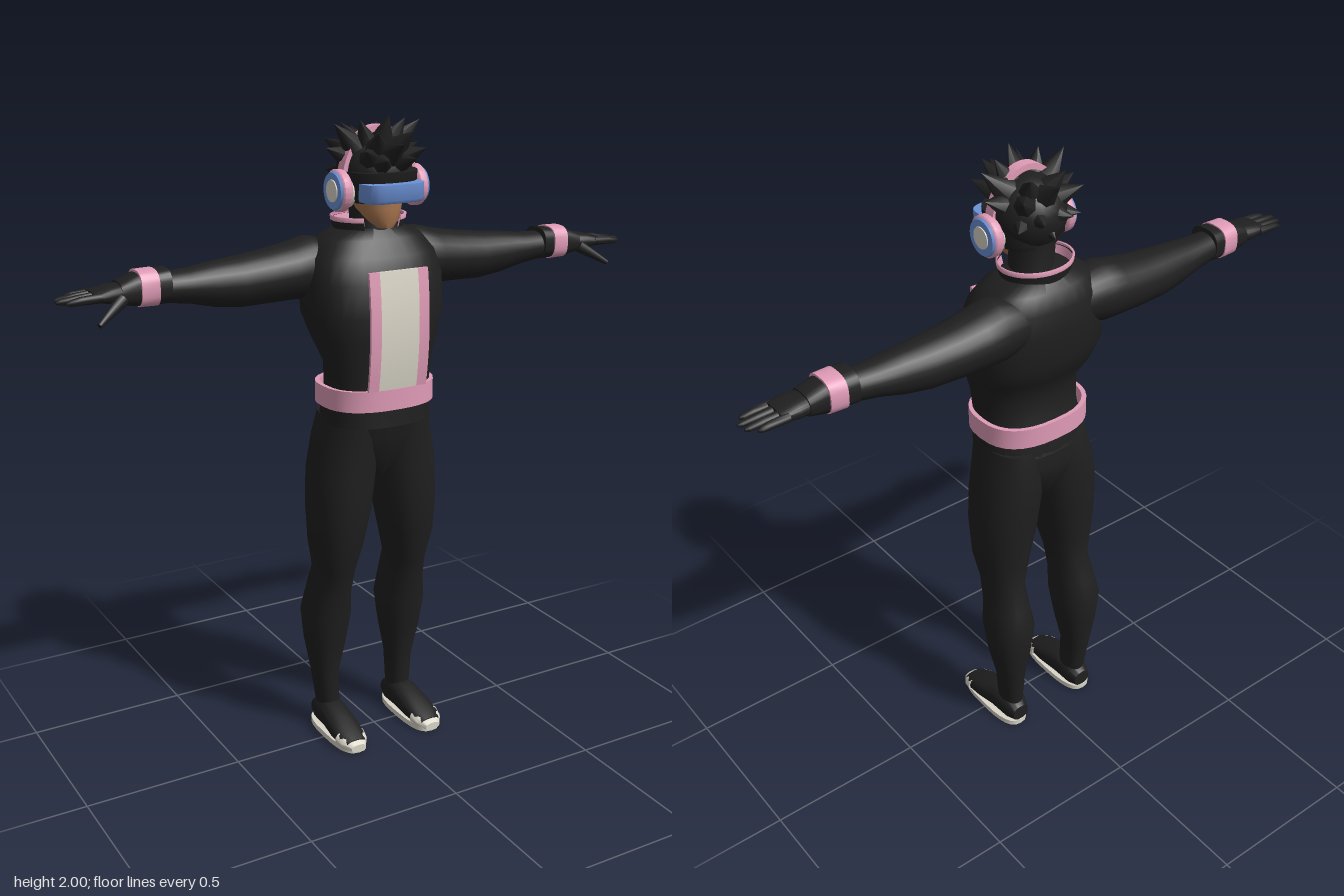
import * as THREE from 'three';
import { toCreasedNormals } from 'three/addons/utils/BufferGeometryUtils.js';

const mat = (name, color, side = THREE.FrontSide) => {
  const m = new THREE.MeshStandardMaterial({ color, side });
  m.name = name;
  return m;
};

// Closed skin through rings [t, cA, rA, cB, rB]; axis y: A=x B=z, axis x: A=z B=y, axis z: A=y B=x
function loft(rings, { axis = 'y', power = 2, sides = 24, caps = true, crease = 0.8 } = {}) {
  const pos = [], idx = [];
  const put = (a, t, b) => pos.push(...(axis === 'y' ? [a, t, b] : axis === 'x' ? [t, b, a] : [b, a, t]));
  const pw = v => Math.sign(v) * Math.abs(v) ** (2 / power);
  for (const [t, ca, ra, cb, rb] of rings) {
    for (let j = 0; j < sides; j++) {
      const q = (j / sides) * Math.PI * 2;
      put(ca + ra * pw(Math.cos(q)), t, cb + rb * pw(Math.sin(q)));
    }
  }
  for (let i = 0; i < rings.length - 1; i++) {
    for (let j = 0; j < sides; j++) {
      const k = (j + 1) % sides, a = i * sides + j, b = i * sides + k;
      idx.push(a, a + sides, b, b, a + sides, b + sides);
    }
  }
  if (caps) {
    const n = rings.length, first = rings[0], last = rings[n - 1], c = n * sides;
    put(first[1], first[0], first[3]);
    put(last[1], last[0], last[3]);
    for (let j = 0; j < sides; j++) {
      const k = (j + 1) % sides, o = (n - 1) * sides;
      idx.push(c, j, k, c + 1, o + k, o + j);
    }
  }
  const g = new THREE.BufferGeometry();
  g.setAttribute('position', new THREE.Float32BufferAttribute(pos, 3));
  g.setIndex(idx);
  return toCreasedNormals(g, crease);
}

// Copy to the other side of x = 0 and restore the corner order
function mirrored(geo) {
  const g = geo.index ? geo.toNonIndexed() : geo.clone();
  g.scale(-1, 1, 1);
  for (const a of Object.values(g.attributes)) {
    const n = a.itemSize, d = a.array;
    for (let i = 0; i < a.count; i += 3) {
      for (let k = 0; k < n; k++) {
        const p = i * n + k, q = (i + 2) * n + k;
        [d[p], d[q]] = [d[q], d[p]];
      }
    }
  }
  return g;
}

// Cone from a to b
function cone(a, b, r0, r1, sides) {
  const A = new THREE.Vector3(...a), B = new THREE.Vector3(...b), d = B.clone().sub(A);
  const g = new THREE.CylinderGeometry(r1, r0, d.length(), sides);
  g.applyQuaternion(new THREE.Quaternion().setFromUnitVectors(new THREE.Vector3(0, 1, 0), d.normalize()));
  return g.translate(...A.add(B).multiplyScalar(0.5).toArray());
}

export function createModel() {
  const black = mat('black cloth', 0x1f1f1f), pink = mat('pink trim', 0xdf9bb6);
  const cream = mat('cream', 0xdad6c8), blue = mat('blue visor', 0x6c92d8), skin = mat('skin', 0xa8754f);
  const blackOpen = mat('black collar cloth', 0x1f1f1f, THREE.DoubleSide);
  const pinkOpen = mat('pink lining', 0xdf9bb6, THREE.DoubleSide);
  const model = new THREE.Group();
  model.name = 'figure';
  const add = (name, geo, m) => {
    const mesh = new THREE.Mesh(geo, m);
    mesh.name = name;
    model.add(mesh);
  };
  const pair = (name, geo, m) => {
    add('left ' + name, geo, m);
    add('right ' + name, mirrored(geo), m);
  };

  // Jacket
  add('jacket', loft([
    [1.08, 0, 0.172, 0, 0.138], [1.19, 0, 0.165, 0.015, 0.118], [1.27, 0, 0.172, 0.022, 0.113],
    [1.35, 0, 0.2, 0, 0.142], [1.42, 0, 0.222, -0.012, 0.157], [1.52, 0, 0.223, -0.02, 0.15],
    [1.59, 0, 0.205, -0.03, 0.135], [1.64, 0, 0.165, -0.035, 0.108], [1.67, 0, 0.1, -0.035, 0.08]
  ], { power: 2.5, sides: 32 }), black);
  add('belt', loft([
    [1.135, 0, 0.16, 0, 0.125], [1.135, 0, 0.182, 0, 0.145], [1.2, 0, 0.182, 0, 0.145],
    [1.2, 0, 0.168, 0, 0.132], [1.15, 0, 0.165, 0, 0.13]
  ], { power: 2.5, sides: 32, caps: false }), pink);

  // Chest panels bowed along the jacket front
  const panel = (x, w) => {
    const g = new THREE.BoxGeometry(w, 0.36, 0.009, 1, 8, 1).translate(x, 1.38, 0);
    const p = g.attributes.position;
    for (let i = 0; i < p.count; i++) {
      const u = (p.getY(i) - 1.39) / 0.18;
      p.setZ(i, p.getZ(i) + 0.154 - 0.015 * u * u);
    }
    g.computeVertexNormals();
    return g;
  };
  add('front panel', panel(0, 0.13), cream);
  pair('front stripe', panel(0.0825, 0.035), pink);

  // Collar and neck
  const ring = pts => new THREE.LatheGeometry(pts.map(p => new THREE.Vector2(...p)), 28, 0.55, Math.PI * 2 - 1.1)
    .scale(1, 1, 0.83).translate(0, 0, -0.035);
  add('collar', ring([[0.105, 1.61], [0.107, 1.65], [0.118, 1.692]]), blackOpen);
  add('collar lining', ring([[0.095, 1.63], [0.103, 1.65], [0.114, 1.692]]), pinkOpen);
  add('collar rim', ring([[0.118, 1.688], [0.12, 1.702], [0.113, 1.702]]), pinkOpen);
  add('neck', loft([[1.62, 0, 0.085, -0.02, 0.08], [1.67, 0, 0.065, -0.015, 0.065], [1.78, 0, 0.07, -0.02, 0.07]]), black);

  // Legs
  add('hips', loft([
    [0.9, 0, 0.03, -0.02, 0.07], [0.98, 0, 0.12, -0.02, 0.115], [1.04, 0, 0.175, -0.018, 0.127], [1.12, 0, 0.168, 0, 0.13]
  ], { power: 2.4 }), black);
  pair('leg', loft([
    [0.06, 0.133, 0.034, -0.075, 0.045], [0.2, 0.14, 0.042, -0.085, 0.055], [0.32, 0.14, 0.066, -0.08, 0.075],
    [0.42, 0.138, 0.077, -0.075, 0.092], [0.5, 0.135, 0.065, -0.06, 0.088], [0.58, 0.131, 0.06, -0.034, 0.086],
    [0.68, 0.128, 0.082, -0.023, 0.102], [0.8, 0.118, 0.097, -0.021, 0.118], [0.92, 0.107, 0.103, -0.023, 0.122],
    [1.02, 0.095, 0.094, -0.02, 0.125], [1.1, 0.09, 0.08, -0.01, 0.12]
  ], { power: 2.2 }), black);

  // Shoes
  pair('shoe', loft([
    [-0.135, 0.045, 0.028, 0.135, 0.03], [-0.1, 0.055, 0.048, 0.135, 0.043], [-0.03, 0.055, 0.046, 0.136, 0.046],
    [0.04, 0.042, 0.035, 0.139, 0.051], [0.1, 0.03, 0.024, 0.141, 0.048], [0.13, 0.024, 0.016, 0.141, 0.034]
  ], { axis: 'z', power: 2.4 }), black);
  pair('toe cap', loft([
    [0.085, 0.03, 0.028, 0.141, 0.053], [0.115, 0.024, 0.022, 0.141, 0.047], [0.145, 0.016, 0.012, 0.141, 0.026]
  ], { axis: 'z', power: 2.4 }), cream);
  pair('sole', loft([[0, 0.138, 0.053, 0.003, 0.142], [0.018, 0.138, 0.053, 0.003, 0.142]], { power: 2.8 }), cream);

  // Arms, cuffs and wristbands
  pair('arm', loft([
    [0.1, -0.075, 0.08, 1.55, 0.08], [0.19, -0.08, 0.095, 1.552, 0.094], [0.25, -0.08, 0.093, 1.545, 0.086],
    [0.33, -0.08, 0.085, 1.537, 0.08], [0.42, -0.076, 0.077, 1.531, 0.075], [0.5, -0.073, 0.067, 1.533, 0.066],
    [0.58, -0.068, 0.058, 1.538, 0.051], [0.67, -0.064, 0.05, 1.543, 0.043]
  ], { axis: 'x' }), black);
  pair('cuff', loft([
    [0.645, -0.062, 0.057, 1.55, 0.051], [0.74, -0.062, 0.05, 1.547, 0.047], [0.79, -0.06, 0.047, 1.543, 0.032]
  ], { axis: 'x', power: 2.8 }), black);
  pair('wristband', loft([
    [0.682, -0.062, 0.058, 1.549, 0.053], [0.735, -0.062, 0.056, 1.549, 0.052]
  ], { axis: 'x', power: 2.8 }), pink);

  // Hands
  pair('palm', loft([
    [0.77, -0.06, 0.04, 1.543, 0.028], [0.82, -0.057, 0.051, 1.543, 0.026], [0.87, -0.056, 0.05, 1.542, 0.015]
  ], { axis: 'x', power: 2.6 }), black);
  [[0.94, -0.098], [0.965, -0.073], [0.97, -0.044], [0.95, -0.016]].forEach(([tip, z], i) =>
    pair('finger ' + (i + 1), loft([
      [0.85, z, 0.013, 1.542, 0.014], [0.91, z, 0.0125, 1.54, 0.012], [tip - 0.012, z, 0.01, 1.537, 0.009], [tip, z, 0.004, 1.536, 0.004]
    ], { axis: 'x', sides: 10 }), black));
  pair('thumb', cone([0.79, 1.53, -0.02], [0.875, 1.475, 0.025], 0.02, 0.008, 10), black);

  // Head and visor
  add('face', loft([
    [1.675, 0, 0.025, 0.065, 0.024], [1.695, 0, 0.047, 0.05, 0.046], [1.73, 0, 0.068, 0.022, 0.077], [1.8, 0, 0.085, 0.01, 0.09]
  ]), skin);
  add('visor frame', loft([
    [1.75, 0, 0.098, 0.01, 0.09], [1.765, 0, 0.11, 0.015, 0.1], [1.84, 0, 0.112, 0.02, 0.105]
  ], { power: 2.6 }), black);
  add('visor', loft([
    [1.755, 0, 0.09, 0.085, 0.062], [1.765, 0, 0.097, 0.085, 0.07], [1.81, 0, 0.097, 0.085, 0.07]
  ], { power: 4 }), blue);

  // Spiky hair
  add('hair', new THREE.SphereGeometry(1, 24, 16).scale(0.113, 0.11, 0.115).translate(0, 1.832, 0), black);
  const spikes = [
    [0, 2, 0.085], [0.075, 1.985, 0.05], [0.143, 1.975, 0.02], [0.155, 1.905, -0.01], [0.1, 1.905, 0.13],
    [0, 1.925, 0.175], [0.05, 1.88, 0.16], [0.06, 1.965, -0.09], [0, 1.95, -0.14], [0.105, 1.92, -0.115],
    [0.05, 1.85, -0.14], [0.11, 1.83, -0.1], [0, 1.79, -0.125], [0.06, 1.955, 0.13]
  ];
  spikes.forEach(([x, y, z], i) => {
    const root = [x * 0.4, 1.84 + (y - 1.84) * 0.4, z * 0.4];
    const g = cone(root, [x, y, z], 0.047, 0.0005, 7);
    if (x) pair('hair spike ' + (i + 1), g, black);
    else add('hair spike ' + (i + 1), g, black);
  });

  // Headphones
  const arch = new THREE.Shape();
  arch.absellipse(0, 1.79, 0.128, 0.178, 0, Math.PI, false);
  arch.absellipse(0, 1.79, 0.113, 0.16, Math.PI, 0, true);
  add('headband', toCreasedNormals(new THREE.ExtrudeGeometry(arch, { depth: 0.034, bevelEnabled: false, curveSegments: 24 }), 0.6), pink);
  const cup = (x0, r0, x1, r1) => loft([[x0, 0.017, r0, 1.785, r0], [x1, 0.017, r1, 1.785, r1]], { axis: 'x' });
  pair('ear cushion', cup(0.098, 0.05, 0.112, 0.05), cream);
  pair('ear cup', loft([
    [0.11, 0.017, 0.054, 1.785, 0.054], [0.118, 0.017, 0.062, 1.785, 0.062],
    [0.138, 0.017, 0.062, 1.785, 0.062], [0.146, 0.017, 0.054, 1.785, 0.054]
  ], { axis: 'x' }), pink);
  pair('ear cup ring', cup(0.143, 0.057, 0.15, 0.053), blue);
  pair('ear cup centre', cup(0.148, 0.034, 0.153, 0.032), cream);

  return model;
}
